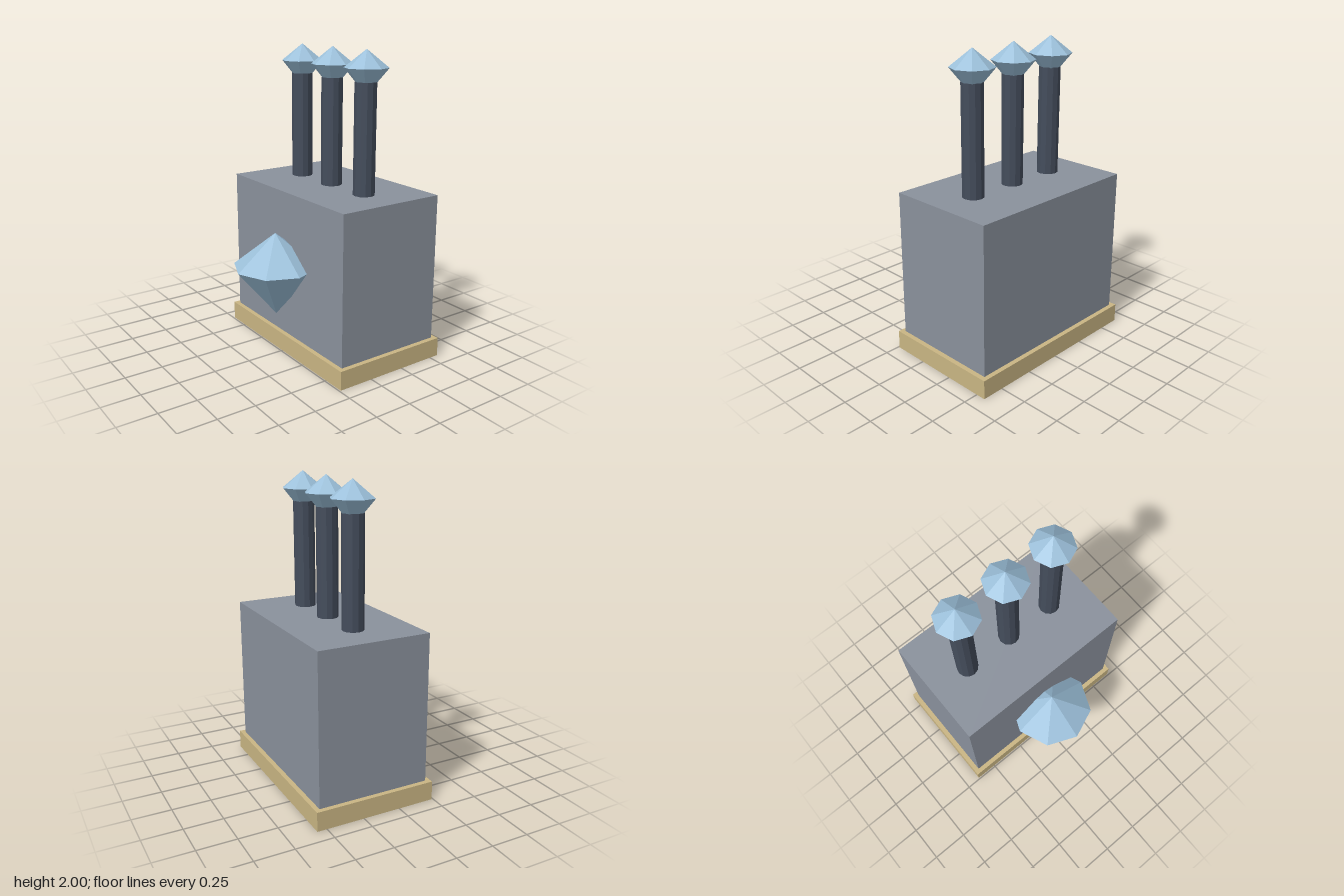
import * as THREE from 'three';

function material(name, color) {
  const m = new THREE.MeshStandardMaterial({ color });
  m.name = name;
  return m;
}

export function createModel() {
  const model = new THREE.Group();
  const stone = material('slate grey', 0x8a919c);
  const brass = material('pale brass', 0xc9b583);
  const iron = material('dark iron', 0x444d5c);
  const crystal = material('ice blue', 0x9cc0da);

  function add(name, geometry, mat, x, y, z) {
    const mesh = new THREE.Mesh(geometry, mat);
    mesh.name = name;
    mesh.position.set(x, y, z);
    model.add(mesh);
    return mesh;
  }

  // Eight-sided cut gem, girdle at y = 0
  function gemGeometry(radius, crown, pavilion) {
    const profile = [[0, -pavilion], [radius, 0], [0, crown]]
      .map(([x, y]) => new THREE.Vector2(x, y));
    const g = new THREE.LatheGeometry(profile, 8).toNonIndexed();
    g.computeVertexNormals();
    return g;
  }

  // Plinth and block
  add('base', new THREE.BoxGeometry(1.3, 0.125, 0.804), brass, 0, 0.0625, -0.162);
  add('body', new THREE.BoxGeometry(1.236, 0.975, 0.742), stone, 0, 0.6125, -0.162);

  // Large gem set in the front face
  add('frontGem', gemGeometry(0.278, 0.222, 0.334), crystal, 0, 0.618, 0.284);

  // Row of pipes, each tipped with a small gem
  const pipe = new THREE.CylinderGeometry(0.07, 0.07, 0.71, 12).toNonIndexed();
  pipe.computeVertexNormals();
  const tip = gemGeometry(0.139, 0.111, 0.167);
  for (const x of [-0.341, 0, 0.341]) {
    add('pipe', pipe, iron, x, 1.45, -0.162);
    add('pipeGem', tip, crystal, x, 1.889, -0.165);
  }
  return model;
}
